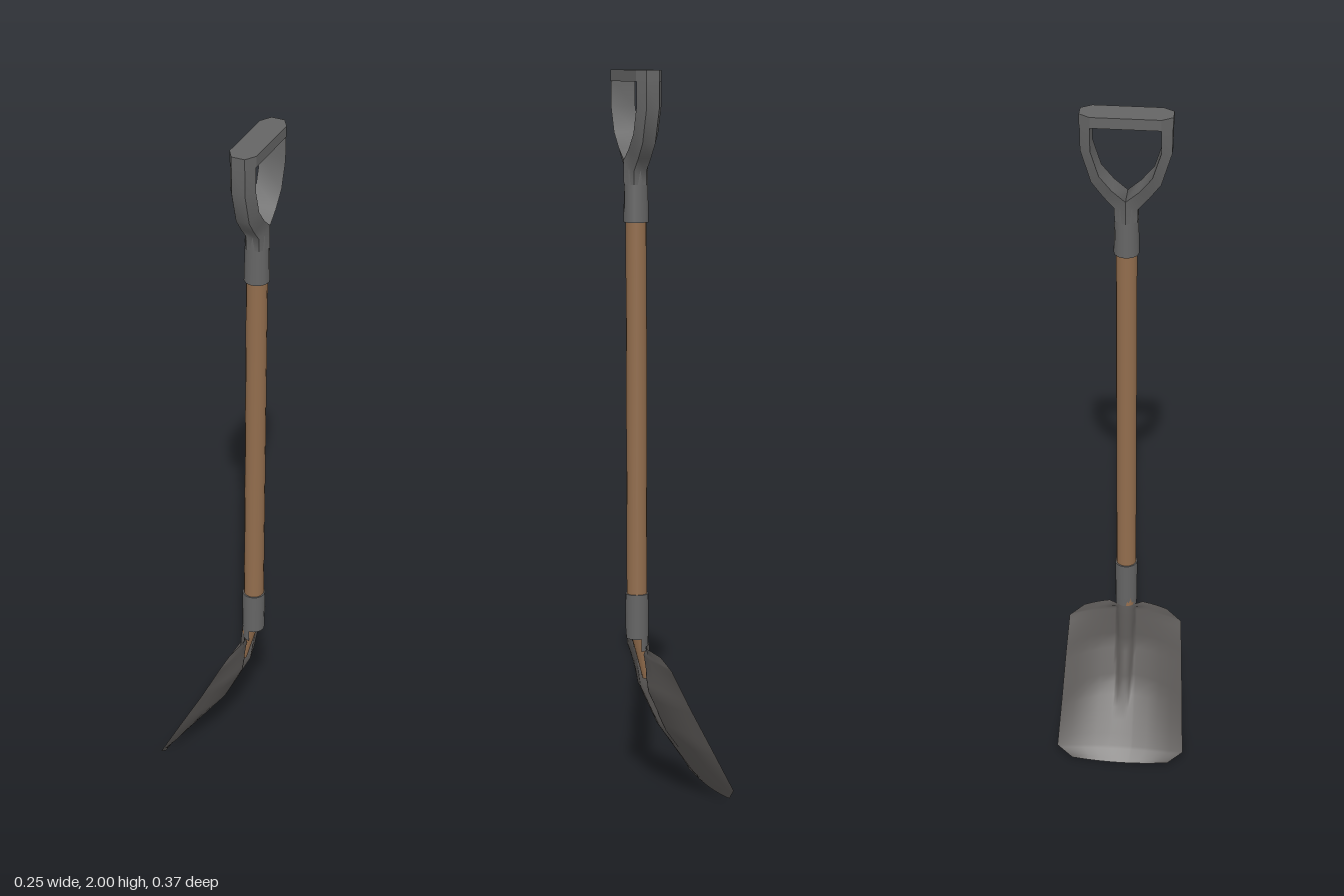
import * as THREE from 'three';
import { toCreasedNormals } from 'three/addons/utils/BufferGeometryUtils.js';

const AXIS = 0.09; // x of the handle's axis

// Skin a grid of points: rows of equal length
function skin(rows) {
  const n = rows[0].length, index = [];
  for (let i = 0; i < rows.length - 1; i++)
    for (let j = 0; j < n - 1; j++) {
      const a = i * n + j, b = a + 1, c = a + n, d = c + 1;
      index.push(a, c, b, b, c, d);
    }
  const g = new THREE.BufferGeometry();
  g.setAttribute('position', new THREE.Float32BufferAttribute(rows.flat(2), 3));
  g.setIndex(index);
  g.computeVertexNormals();
  return g;
}

// Pressed steel blade: dished across, with a hollow ridge below the socket
function bladeGeometry() {
  // centre x, centre y, edge x, edge y, half width
  const profile = [
    [0.088, 0.442, 0.07, 0.43, 0.12],
    [0.083, 0.41, 0.055, 0.4, 0.162],
    [0.07, 0.31, 0.008, 0.3, 0.169],
    [0.015, 0.19, -0.056, 0.175, 0.176],
    [-0.095, 0.037, -0.12, 0.048, 0.184],
    [-0.128, 0, -0.128, 0.01, 0.14],
  ];
  const across = [0, 0.004, 0.009, 0.014, 0.019, 0.024, 0.029, 0.06, 0.09, 0.12, 1];
  const rows = [];
  const steps = 5;
  for (let i = 0; i <= (profile.length - 1) * steps; i++) {
    const k = Math.min(Math.floor(i / steps), profile.length - 2), t = i / steps - k;
    const [cx, cy, ex, ey, w] = profile[k].map((v, j) => THREE.MathUtils.lerp(v, profile[k + 1][j], t));
    const rise = THREE.MathUtils.clamp((cy - 0.14) / 0.3, 0, 1);
    const height = 0.031 * Math.pow(rise, 0.6), half = 0.018 + 0.011 * rise;
    const point = (s, side) => {
      const z = s === 1 ? w : s * (w / 0.15), u = z / w;
      const q = Math.min(z / half, 1);
      const ridge = height * Math.sqrt(1 - q * q);
      return [cx + (ex - cx) * u * u - ridge, cy + (ey - cy) * u * u, side * z];
    };
    rows.push([
      ...across.slice(1).reverse().map(s => point(s, -1)),
      ...across.map(s => point(s, 1)),
    ]);
  }
  return skin(rows);
}

// One arm of the forked grip, lofted through trapezoid sections
function armGeometry(side) {
  // inner z, inner y, outer z, outer y
  const path = [
    [0, 1.7, 0.03, 1.7],
    [0, 1.765, 0.031, 1.737],
    [0.035, 1.795, 0.06, 1.77],
    [0.068, 1.835, 0.09, 1.81],
    [0.09, 1.905, 0.117, 1.9],
    [0.09, 1.975, 0.118, 1.975],
  ];
  const rows = path.map(([iz, iy, oz, oy]) => {
    const ring = [[iz, iy, 0.035], [oz, oy, 0.018], [oz, oy, -0.018], [iz, iy, -0.035], [iz, iy, 0.035]]
      .map(([z, y, x]) => [AXIS + x, y, side * z]);
    return side > 0 ? ring.reverse() : ring;
  });
  return toCreasedNormals(skin(rows), 0.9);
}

export function createModel() {
  const group = new THREE.Group();
  const paint = (name, color) => {
    const m = new THREE.MeshStandardMaterial({ color, side: THREE.DoubleSide });
    m.name = name;
    return m;
  };
  const steel = paint('blade steel', 0x5d5a58);
  const grey = paint('grey metal', 0x656565);
  const wood = paint('wood', 0x926d4d);
  const add = (name, geometry, material, x = 0, y = 0, z = 0) => {
    const mesh = new THREE.Mesh(geometry, material);
    mesh.name = name;
    mesh.position.set(x, y, z);
    group.add(mesh);
    return mesh;
  };

  // Blade
  add('blade', bladeGeometry(), steel);

  // Wooden shaft and its tapered end lying in the hollow of the ridge
  add('shaft', new THREE.CylinderGeometry(0.028, 0.028, 1.14, 16), wood, AXIS, 1.04);
  const tip = add('shaftTip', new THREE.CylinderGeometry(0.023, 0.01, 0.14, 12), wood, 0.073, 0.41, 0.005);
  tip.rotation.z = -0.17;

  // Socket: closed ring, then an open half that runs into the ridge
  add('socket', new THREE.CylinderGeometry(0.032, 0.031, 0.125, 16, 1, true), grey, AXIS, 0.5225);
  add('socketRim', new THREE.RingGeometry(0.026, 0.032, 16).rotateX(-Math.PI / 2), grey, AXIS, 0.585);
  add('socketThroat', new THREE.CylinderGeometry(0.031, 0.03, 0.04, 10, 1, true, Math.PI, Math.PI),
    grey, AXIS, 0.445);

  // Grip: collar, two arms and a flat bar with clipped corners
  add('gripCollar', new THREE.CylinderGeometry(0.031, 0.034, 0.14, 12), grey, AXIS, 1.67);
  for (const side of [1, -1]) add(side > 0 ? 'frontArm' : 'backArm', armGeometry(side), grey);
  const outline = [[0.036, 0.09], [0.018, 0.119], [-0.018, 0.119], [-0.036, 0.09],
    [-0.036, -0.09], [-0.018, -0.119], [0.018, -0.119], [0.036, -0.09]];
  const plan = new THREE.Shape(outline.map(([x, z]) => new THREE.Vector2(x, z)));
  const bar = new THREE.ExtrudeGeometry(plan, { depth: 0.03, bevelEnabled: false });
  add('gripBar', bar.rotateX(-Math.PI / 2), grey, AXIS, 1.97);

  return group;
}
